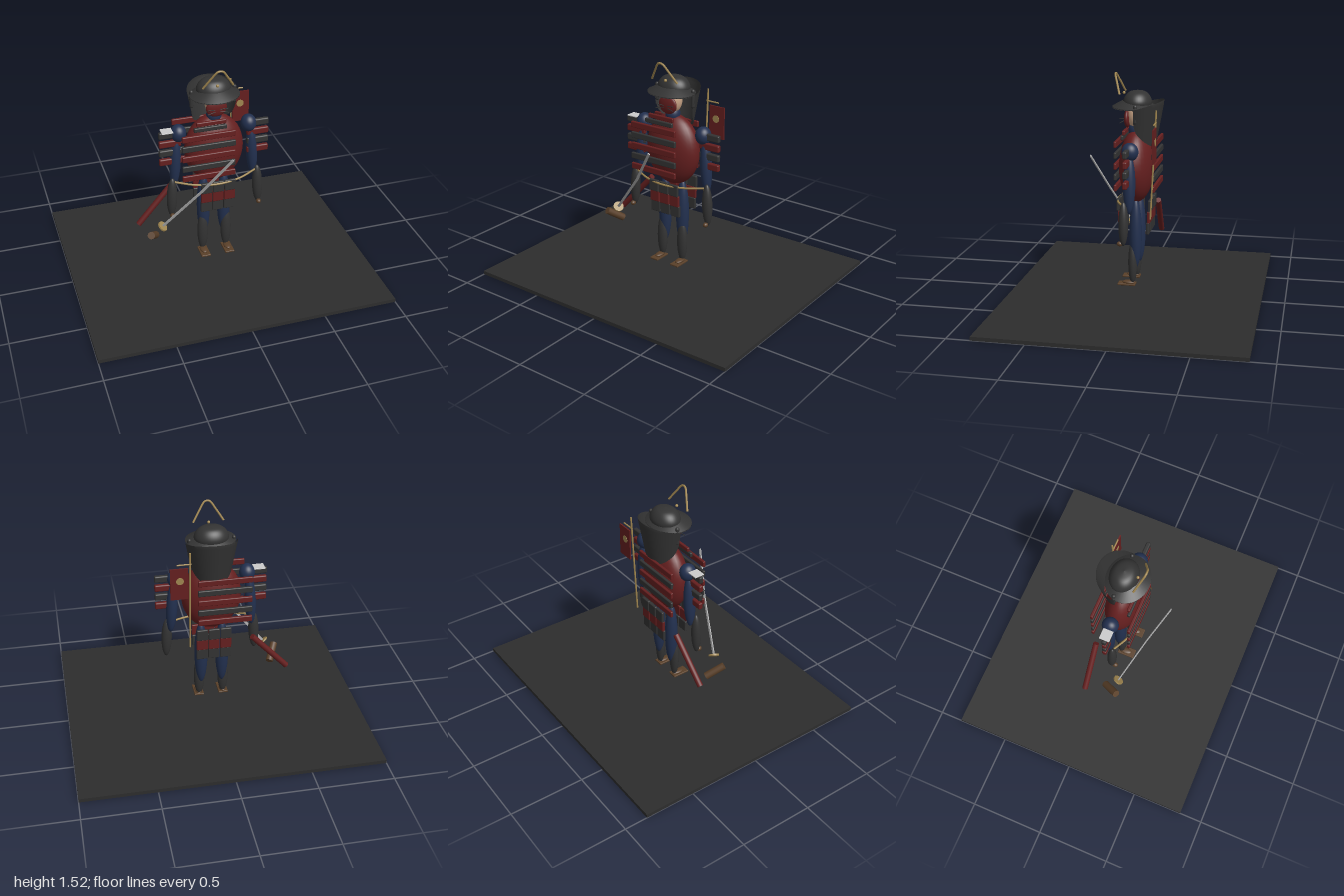
import * as THREE from 'three';
import { RoundedBoxGeometry } from 'three/addons/geometries/RoundedBoxGeometry.js';
import { ParametricGeometry } from 'three/addons/geometries/ParametricGeometry.js';

const mat = (color, side = THREE.FrontSide) => new THREE.MeshStandardMaterial({ color, side });
const V = (x, y, z) => new THREE.Vector3(x, y, z);

export function createModel() {
  const root = new THREE.Group();
  const red = mat(0x651f1f), dark = mat(0x333333), blue = mat(0x22304f), tan = mat(0xa08650);
  const brown = mat(0x5a4029), steel = mat(0xa8a8a8), skin = mat(0xc6a284);
  const white = mat(0xcccccc), sheet = mat(0x333333, THREE.DoubleSide);

  const add = (name, geo, material, x = 0, y = 0, z = 0) => {
    const m = new THREE.Mesh(geo, material);
    m.name = name;
    m.position.set(x, y, z);
    root.add(m);
    return m;
  };
  const ball = (name, material, x, y, z, rx, ry, rz) => {
    const m = add(name, new THREE.SphereGeometry(1, 32, 20), material, x, y, z);
    m.scale.set(rx, ry, rz);
    return m;
  };
  const slat = (name, material, x, y, z, w, h, d) =>
    add(name, new RoundedBoxGeometry(w, h, d, 2, Math.min(w, h, d) * 0.3), material, x, y, z);
  // Place a mesh whose long axis is y between two points
  const span = (m, a, b) => {
    m.position.copy(a).add(b).multiplyScalar(0.5);
    m.quaternion.setFromUnitVectors(V(0, 1, 0), b.clone().sub(a).normalize());
    return m;
  };
  const rod = (name, material, a, b, r) =>
    span(add(name, new THREE.CylinderGeometry(r, r, a.distanceTo(b), 16), material), a, b);
  const tube = (name, material, points, r) =>
    add(name, new THREE.TubeGeometry(new THREE.CatmullRomCurve3(points), 32, r, 8), material);

  add('ground', new THREE.BoxGeometry(2, 0.025, 1.69), mat(0x2d2d2d), 0, 0.0125, 0);

  // Body and neck
  ball('torso', red, 0, 0.9, 0.005, 0.2, 0.245, 0.115);
  ball('neck', blue, 0, 1.14, 0.01, 0.05, 0.06, 0.05);

  // Chest and back slats, offset to the right side
  for (let i = 0; i < 5; i++) {
    const y = 1.055 - i * 0.073;
    for (const z of [0.132, -0.122])
      slat(z > 0 ? 'chestSlat' : 'backSlat', i % 2 ? dark : red, -0.07, y, z, 0.36, 0.042, 0.02);
  }
  slat('throatSlat', red, -0.04, 1.125, 0.085, 0.2, 0.03, 0.02);
  slat('throatSlat', dark, -0.05, 1.092, 0.095, 0.22, 0.03, 0.02);

  // Skirt panels, front and back
  for (const x of [-0.08, 0, 0.08])
    for (let i = 0; i < 3; i++) {
      const m = i === 1 ? red : dark;
      slat('skirtFront', m, x, 0.652 - i * 0.077, 0.112 - i * 0.01, 0.075, 0.08, 0.02);
      slat('skirtBack', m, x, 0.652 - i * 0.077, -0.1 + i * 0.006, 0.075, 0.08, 0.02);
    }
  tube('belt', tan, [V(-0.3, 0.695, 0.03), V(-0.15, 0.682, 0.1), V(0, 0.678, 0.125),
    V(0.15, 0.682, 0.1), V(0.3, 0.695, 0.03)], 0.007);

  // Limbs and shoulder plates
  for (const s of [-1, 1]) {
    ball('shoulder', blue, s * 0.24, 1.04, 0.005, 0.052, 0.06, 0.055);
    ball('upperArm', blue, s * 0.265, 0.83, 0.005, 0.038, 0.19, 0.04).rotation.z = s * 0.06;
    ball('forearm', dark, s * 0.3, 0.577, 0.037, 0.035, 0.145, 0.032).rotation.z = s * 0.04;
    ball('hand', brown, s * 0.305, 0.445, 0.06, 0.016, 0.016, 0.02);
    for (let i = 0; i < 4; i++)
      slat('shoulderPlate', i % 2 ? red : dark, s * 0.3, 1.043 - i * 0.066, 0.015, 0.15, 0.047, 0.03);
    ball('thigh', blue, s * 0.072, 0.45, 0, 0.045, 0.24, 0.042);
    ball('shin', dark, s * 0.083, 0.25, 0.018, 0.037, 0.15, 0.03);
    slat('sandal', brown, s * 0.085, 0.1, 0.057, 0.066, 0.013, 0.12);
    ball('foot', brown, s * 0.085, 0.112, 0.045, 0.025, 0.012, 0.045);
  }
  slat('shoulderPatch', white, -0.32, 1.069, 0.012, 0.075, 0.008, 0.07);

  // Head and face mask
  ball('head', skin, 0, 1.235, 0.01, 0.062, 0.085, 0.06);
  ball('faceMask', red, 0, 1.218, 0.066, 0.07, 0.062, 0.022);
  for (const s of [-1, 1])
    for (const dy of [0, 0.015])
      rod('whisker', dark, V(s * 0.015, 1.215 - dy, 0.09), V(s * 0.07, 1.225 - 2 * dy, 0.105), 0.0025);

  // Helmet: bowl, sloping brim, side flaps, crest
  const bowl = [[0, 0.1], [0.06, 0.09], [0.095, 0.065], [0.113, 0.03], [0.108, 0], [0.09, -0.015]]
    .map(([x, y]) => new THREE.Vector2(x, y)).reverse();
  add('helmetBowl', new THREE.LatheGeometry(new THREE.SplineCurve(bowl).getPoints(20), 40), dark, 0, 1.305, 0)
    .scale.z = 0.82;
  const brim = add('helmetBrim', new THREE.LatheGeometry([[0.085, 0.025], [0.165, -0.012], [0.165, -0.02],
    [0.085, 0.01]].map(([x, y]) => new THREE.Vector2(x, y)), 40), sheet, 0, 1.312, 0.025);
  brim.scale.z = 0.85;
  for (const s of [-1, 1])
    add('helmetFlap', new THREE.CapsuleGeometry(0.013, 0.1, 4, 12), dark, s * 0.145, 1.265, -0.01);
  tube('crest', tan, [V(-0.1, 1.385, 0.1), V(-0.055, 1.455, 0.125), V(-0.015, 1.508, 0.144),
    V(0.015, 1.508, 0.144), V(0.055, 1.455, 0.125), V(0.1, 1.385, 0.1)], 0.007);
  ball('crestBoss', tan, 0, 1.385, 0.09, 0.01, 0.01, 0.01);

  // Neck guard: rounded shell wrapped behind the head
  const guard = new ParametricGeometry((u, t, p) => {
    const a = (u - 0.5) * Math.PI, c = Math.max(0, Math.cos(a));
    const top = 1.295 + 0.05 * c, bottom = 1.19 - 0.155 * Math.sqrt(c);
    const y = top + (bottom - top) * t;
    const r = 0.12 + 0.055 * THREE.MathUtils.clamp((y - 1.03) / 0.3, 0, 1);
    p.set(Math.sin(a) * r, y, -c * r);
  }, 32, 12);
  add('neckGuard', guard, sheet);

  // Back banner on its pole
  rod('bannerPole', tan, V(0.165, 0.58, -0.115), V(0.165, 1.3, -0.152), 0.006);
  rod('bannerBar', tan, V(0.155, 1.22, -0.15), V(0.25, 1.22, -0.15), 0.005);
  add('banner', new THREE.BoxGeometry(0.115, 0.22, 0.01), red, 0.237, 1.085, -0.152);
  add('bannerDisc', new THREE.CylinderGeometry(0.025, 0.025, 0.014, 24), tan, 0.232, 1.108, -0.152)
    .rotation.x = Math.PI / 2;

  // Sword: blade, guard, hilt, and scabbard at the hip
  const base = V(-0.39, 0.415, 0.12), mid = V(-0.14, 0.71, 0.222), tip = V(0.035, 0.96, 0.312);
  for (const [a, b] of [[base, mid], [mid, tip]])
    span(add('blade', new THREE.BoxGeometry(0.016, a.distanceTo(b) + 0.004, 0.008), steel), a, b);
  rod('swordGuard', tan, V(-0.394, 0.41, 0.118), V(-0.387, 0.418, 0.122), 0.036);
  rod('hilt', brown, V(-0.475, 0.37, 0.14), V(-0.42, 0.295, 0.035), 0.025);
  rod('scabbard', red, V(-0.51, 0.325, -0.08), V(-0.26, 0.6, -0.097), 0.02);

  return root;
}
